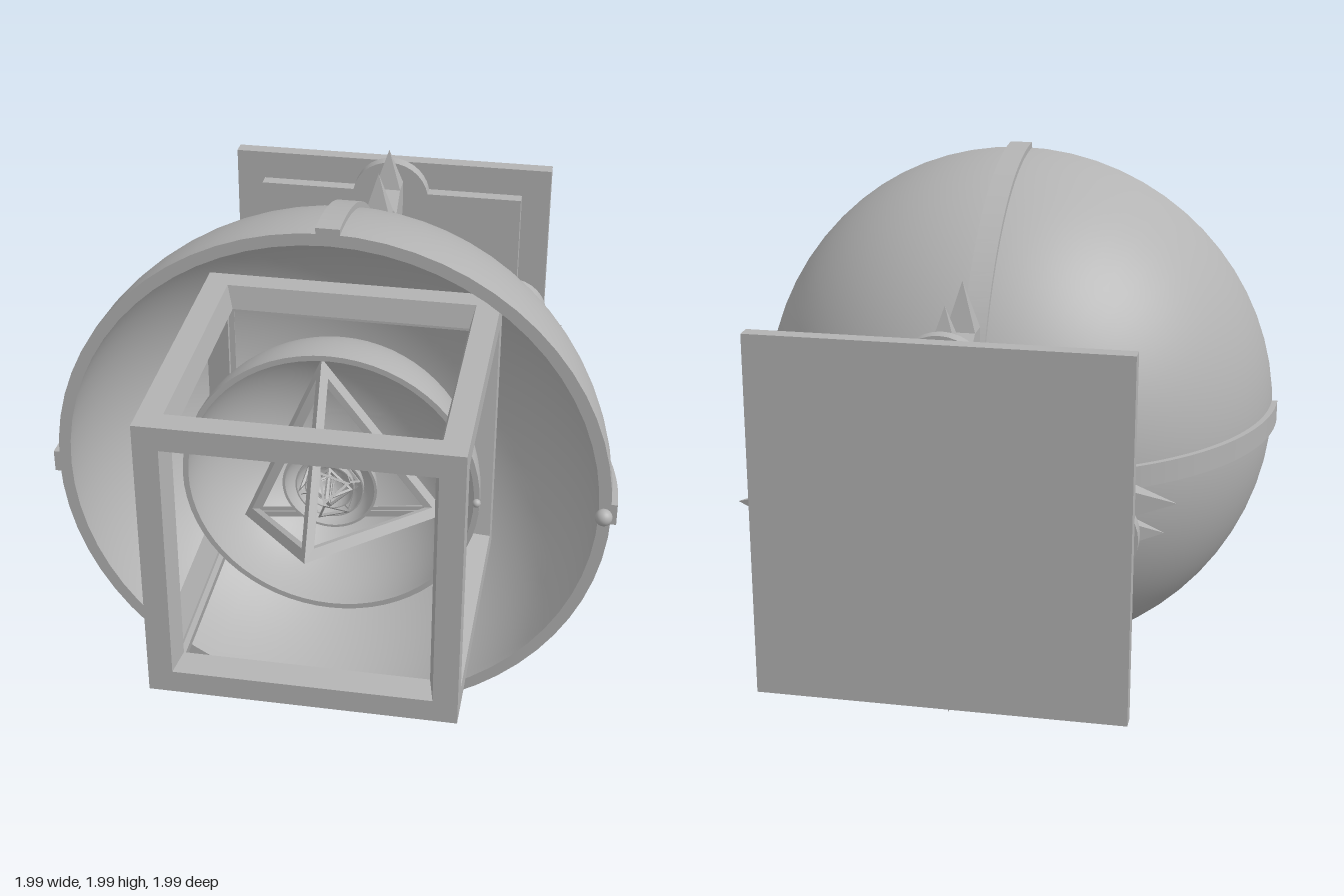
import * as THREE from 'three';
import { toCreasedNormals } from 'three/addons/utils/BufferGeometryUtils.js';

const CZ = 0.452; // common centre of the nested solids, on z
const V = (x, y, z) => new THREE.Vector3(x, y, z);

export function createModel() {
  const grey = new THREE.MeshStandardMaterial({ color: 0xb3b3b3 });
  grey.name = 'stone grey';
  const model = new THREE.Group();
  const body = new THREE.Group();
  body.name = 'nestedSolidsCup';
  body.position.y = 1;
  model.add(body);

  function add(name, geometry, parent = body, x = 0, y = 0, z = 0) {
    const mesh = new THREE.Mesh(geometry, grey);
    mesh.name = name;
    mesh.position.set(x, y, z);
    parent.add(mesh);
    return mesh;
  }

  // Turned part around the z axis; points are [radius, z], back to front outside
  function turned(points, segments = 64) {
    const g = new THREE.LatheGeometry(points.map(p => new THREE.Vector2(p[0], p[1])), segments);
    return toCreasedNormals(g.rotateX(Math.PI / 2), 0.5);
  }

  // Hemispherical bowl opening to the front
  function bowl(name, outer, inner, steps = 32) {
    const pts = [];
    for (let i = 0; i <= steps; i++) {
      const a = (i / steps) * Math.PI / 2;
      pts.push([outer * Math.sin(a), -outer * Math.cos(a)]);
    }
    for (let i = steps; i >= 0; i--) {
      const a = (i / steps) * Math.PI / 2;
      pts.push([inner * Math.sin(a), -inner * Math.cos(a)]);
    }
    return add(name, turned(pts), body, 0, 0, CZ);
  }

  // Flat profile in the (radius, z) plane, given a thickness across it
  function slab(shape, thickness, curveSegments = 32) {
    const g = new THREE.ExtrudeGeometry(shape, { depth: thickness, bevelEnabled: false, curveSegments });
    return g.translate(0, 0, -thickness / 2).rotateX(Math.PI / 2);
  }
  const polygon = pts => new THREE.Shape(pts.map(p => new THREE.Vector2(p[0], p[1])));

  // Open polyhedron frame: faces are found from the face normals
  function openFrame(name, verts, normals, border, depth, innerBorder) {
    const pos = [];
    const quad = (a, b, c, d) => [a, b, c, a, c, d].forEach(p => pos.push(p.x, p.y, p.z));
    for (const nRaw of normals) {
      const n = nRaw.clone().normalize();
      const top = Math.max(...verts.map(v => v.dot(n)));
      const face = verts.filter(v => v.dot(n) > top - 1e-4);
      const c = n.clone().multiplyScalar(top);
      const u = face[0].clone().sub(c).normalize();
      const w = n.clone().cross(u);
      const angle = v => Math.atan2(v.clone().sub(c).dot(w), v.clone().sub(c).dot(u));
      face.sort((a, b) => angle(a) - angle(b));
      const rings = face.map(v => [
        v,
        v.clone().lerp(c, border),
        v.clone().lerp(c, innerBorder).multiplyScalar(depth),
        v.clone().multiplyScalar(depth),
      ]);
      rings.forEach((r, i) => {
        const s = rings[(i + 1) % rings.length];
        for (let k = 0; k < 3; k++) quad(r[k], s[k], s[k + 1], r[k + 1]);
      });
    }
    const g = new THREE.BufferGeometry();
    g.setAttribute('position', new THREE.Float32BufferAttribute(pos, 3));
    g.computeVertexNormals();
    return add(name, g, body, 0, 0, CZ);
  }

  // Corner sets of the regular solids, unit radius
  function corners(geometry) {
    const p = geometry.getAttribute('position');
    const out = [];
    for (let i = 0; i < p.count; i++) {
      const v = V(0, 0, 0).fromBufferAttribute(p, i).normalize();
      if (!out.some(o => o.distanceTo(v) < 1e-3)) out.push(v);
    }
    return out;
  }
  const cube = corners(new THREE.BoxGeometry(1, 1, 1));
  const octa = corners(new THREE.OctahedronGeometry(1));
  const icosa = corners(new THREE.IcosahedronGeometry(1));
  const dodeca = corners(new THREE.DodecahedronGeometry(1));
  const turn = new THREE.Quaternion().setFromUnitVectors(icosa[0].clone(), V(0, 0, 1));
  [...icosa, ...dodeca].forEach(v => v.applyQuaternion(turn)); // a pentagon faces forward
  const tetra = [V(0, 0, 1)];
  for (const deg of [97, 217, 337]) {
    const a = THREE.MathUtils.degToRad(deg), r = Math.sqrt(8) / 3;
    tetra.push(V(r * Math.cos(a), r * Math.sin(a), -1 / 3));
  }
  const sized = (list, r) => list.map(v => v.clone().multiplyScalar(r));

  // Nested bowls and solids, outside to inside
  bowl('outerBowl', 0.975, 0.932, 40);
  openFrame('cubeFrame', sized(cube, 0.53 * Math.sqrt(3)), octa, 0.16, 0.84, 0.045).position.z = 0.465;
  bowl('middleBowl', 0.525, 0.505);
  openFrame('tetrahedronFrame', sized(tetra, 0.455), sized(tetra, -1), 0.17, 0.86, 0.08);
  bowl('smallBowl', 0.167, 0.158, 16);
  openFrame('dodecahedronFrame', sized(dodeca, 0.157), icosa, 0.2, 0.9, 0.14);
  bowl('tinyBowl', 0.121, 0.116, 16);
  openFrame('icosahedronFrame', sized(icosa, 0.114), dodeca, 0.24, 0.9, 0.16);
  bowl('innermostBowl', 0.088, 0.084, 12);
  openFrame('octahedronFrame', sized(octa, 0.083), cube, 0.24, 0.88, 0.14);

  // Beads on the bowl rims
  add('outerRimBead', new THREE.SphereGeometry(0.03, 20, 14), body, 0.95, 0, 0.473);
  add('middleRimBead', new THREE.SphereGeometry(0.015, 16, 10), body, 0.515, 0, CZ + 0.01);

  // Neck and wall mount
  add('neck', turned([[0.337, -0.895], [0.337, -0.865], [0.3, -0.865], [0.3, -0.85], [0.18, -0.85],
    [0.166, -0.79], [0.2, -0.55], [0.375, -0.475], [0.45, -0.4]]));
  add('wallPlate', new THREE.BoxGeometry(1.25, 1.25, 0.055), body, 0, 0, -0.967);
  add('raisedPlate', new THREE.BoxGeometry(1.03, 1.03, 0.05), body, 0, 0, -0.915);

  // Rib profile hugging the bowl
  const rib = new THREE.Shape();
  const ribEnd = -THREE.MathUtils.degToRad(70);
  rib.absarc(0, CZ, 0.994, 0, ribEnd, true);
  rib.absarc(0, CZ, 0.955, ribEnd, 0, false);
  rib.closePath();

  // Claw bracket, its leaf and its scroll
  const claw = polygon([[0.56, -0.55], [0.56, -0.63], [0.5, -0.72], [0.56, -0.81], [0.56, -0.89],
    [0.43, -0.89], [0.42, -0.81], [0.46, -0.73], [0.42, -0.63], [0.18, -0.63], [0.18, -0.55]]);
  const leaf = polygon([[0.37, -0.56], [0.4, -0.49], [0.355, -0.455], [0.26, -0.49], [0.2, -0.56]]);
  const scroll = new THREE.CylinderGeometry(0.098, 0.098, 0.1, 7);

  for (let i = 0; i < 4; i++) {
    const arm = new THREE.Group();
    arm.name = 'mountArm' + (i + 1);
    arm.rotation.z = i * Math.PI / 2;
    body.add(arm);
    add('rib', slab(rib, 0.08), arm);
    add('clawBracket', slab(claw, 0.1), arm);
    add('clawLeaf', slab(leaf, 0.09), arm);
    add('clawScroll', toCreasedNormals(scroll, 0.3), arm, 0.265, 0, -0.78);
    for (const [z, tip] of [[-0.59, 0.725], [-0.85, 0.71]]) {
      // Four-sided spike pointing outward
      const length = tip - 0.56;
      const g = new THREE.ConeGeometry(Math.SQRT1_2, length, 4).toNonIndexed();
      g.rotateY(Math.PI / 4).rotateZ(-Math.PI / 2).scale(1, 0.1, 0.08);
      g.computeVertexNormals();
      add('clawSpike', g, arm, 0.56 + length / 2, 0, z);
    }
    const lobe = turned([[0, -0.94], [0.15, -0.94], [0.15, -0.89], [0, -0.89]], 32);
    add('plateLobe', lobe, arm, 0.488, 0, 0);
  }
  return model;
}
